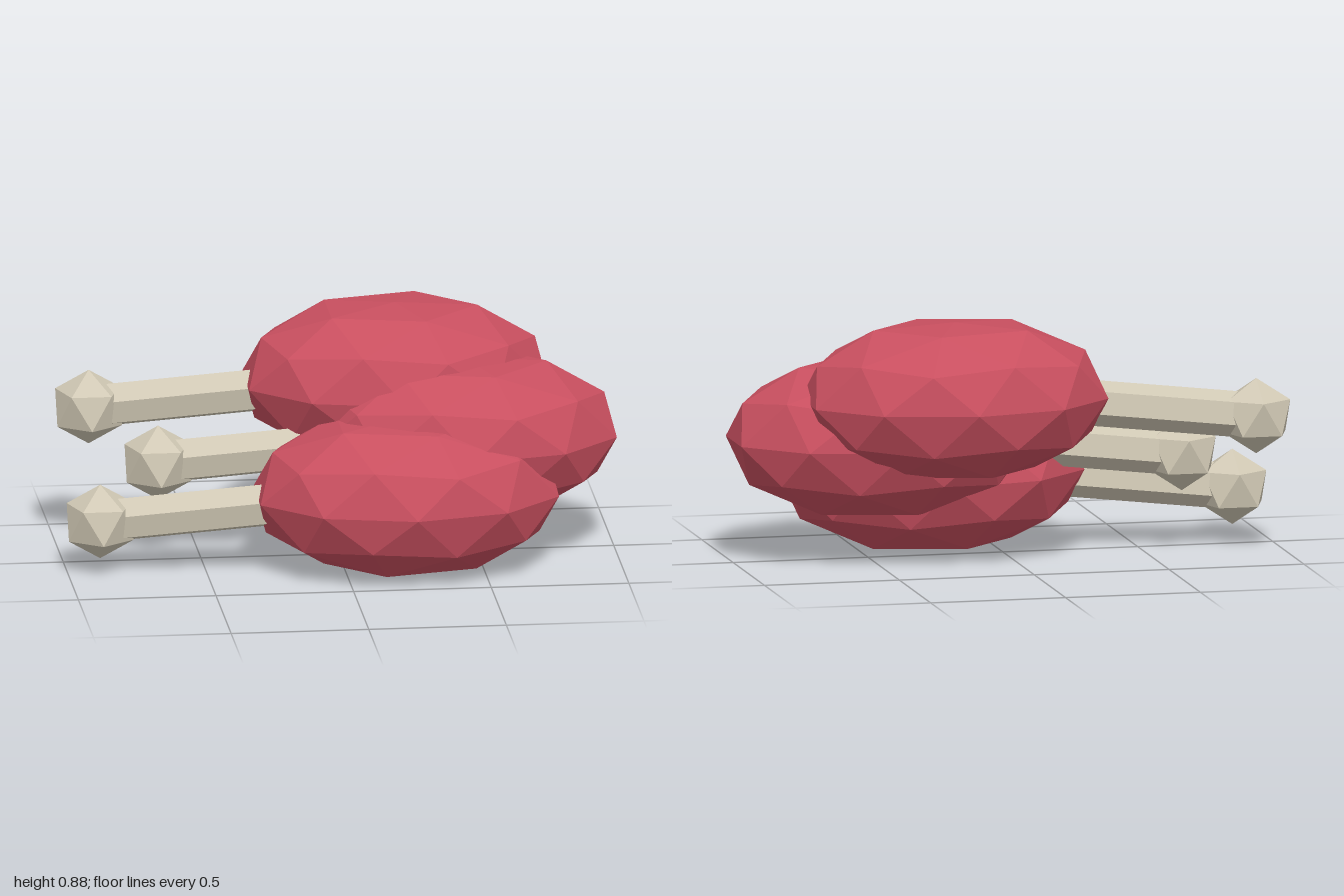
import * as THREE from 'three';

const meatRed = new THREE.MeshStandardMaterial({ color: 0xc84f5f, flatShading: true });
meatRed.name = 'meatRed';
const boneCream = new THREE.MeshStandardMaterial({ color: 0xd0c8b4, flatShading: true });
boneCream.name = 'boneCream';

// Icosphere standing on one of its vertices
function poleIcosphere(detail) {
  return new THREE.IcosahedronGeometry(1, detail).rotateZ(-Math.atan(2 / (1 + Math.sqrt(5))));
}

// Plump ellipsoid with slightly flattened poles
function meatGeometry() {
  const geo = poleIcosphere(1).scale(0.57, 0.307, 0.405);
  const pos = geo.attributes.position;
  for (let i = 0; i < pos.count; i++) {
    pos.setY(i, THREE.MathUtils.clamp(pos.getY(i), -0.28, 0.28));
  }
  geo.computeVertexNormals();
  return geo;
}

// Six-sided shaft from the knob into the meat, along +x
function shaftGeometry() {
  return new THREE.CylinderGeometry(0.083, 0.083, 0.78, 6)
    .rotateY(Math.PI / 2)
    .rotateZ(-Math.PI / 2)
    .rotateX(0.17)
    .translate(0.45, 0, 0);
}

export function createModel() {
  const model = new THREE.Group();
  model.name = 'drumstickPile';

  const meatGeo = meatGeometry();
  const shaftGeo = shaftGeometry();
  const knobGeo = poleIcosphere(0).rotateY(Math.PI / 10).scale(0.138, 0.138, 0.138);

  const add = (parent, name, geo, mat, x, y, z) => {
    const mesh = new THREE.Mesh(geo, mat);
    mesh.name = name;
    mesh.position.set(x, y, z);
    parent.add(mesh);
    return mesh;
  };

  // Three drumsticks leaning on each other
  const places = [
    ['topDrumstick', 0.225, 0.605, -0.195],
    ['middleDrumstick', 0.455, 0.445, 0.005],
    ['bottomDrumstick', 0.225, 0.282, 0.187],
  ];
  for (const [name, x, y, z] of places) {
    const stick = new THREE.Group();
    stick.name = name;
    stick.position.set(x, y, z);
    add(stick, 'meat', meatGeo, meatRed, 0, 0, 0);
    add(stick, 'boneKnob', knobGeo, boneCream, -1.105, -0.095, -0.06);
    const shaft = add(stick, 'boneShaft', shaftGeo, boneCream, -1.105, -0.095, -0.06);
    shaft.rotation.set(0, -0.1, 0.1);
    model.add(stick);
  }
  return model;
}
